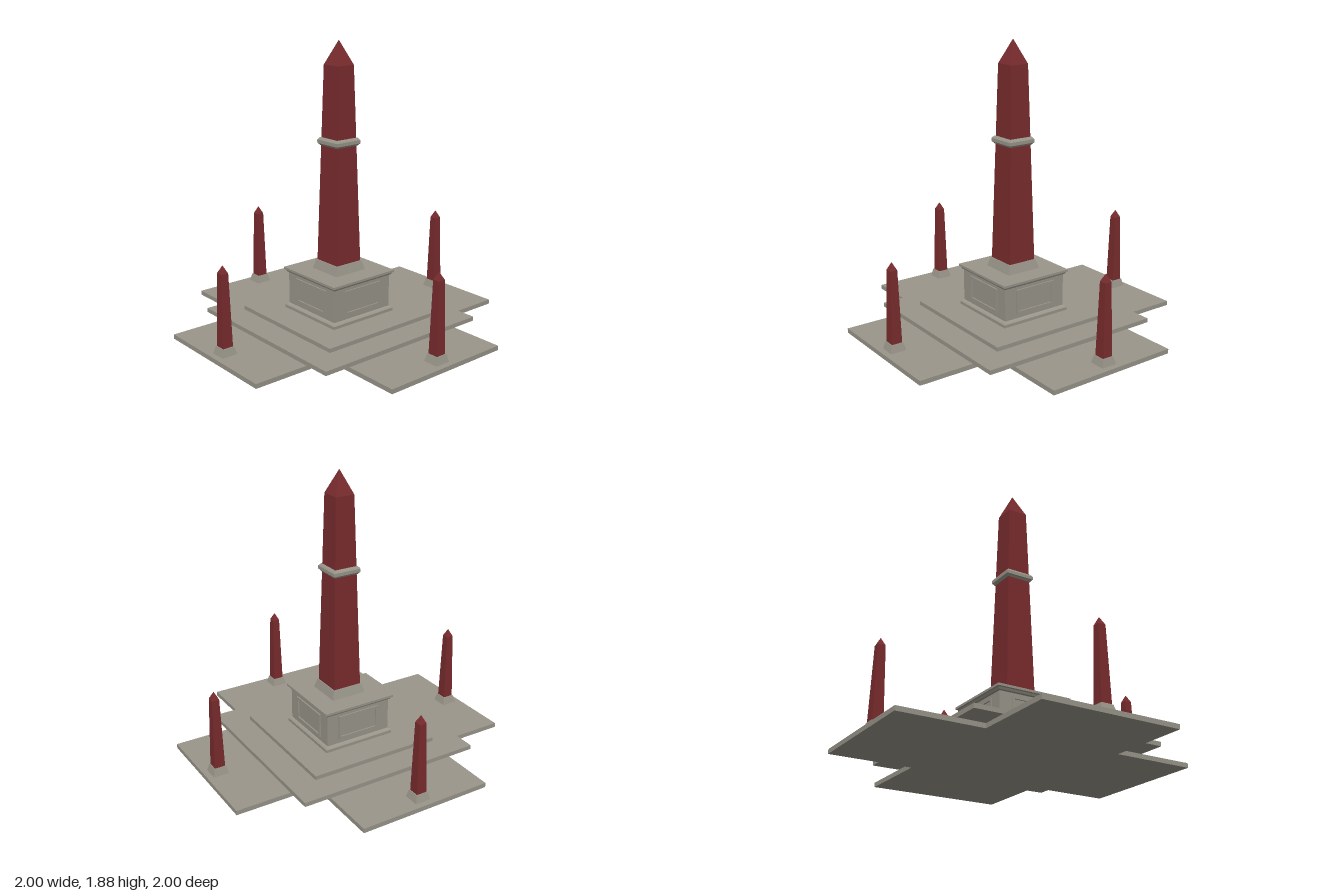
import * as THREE from 'three';

const stone = new THREE.MeshStandardMaterial({ color: 0x9a968b });
stone.name = 'grey stone';
const granite = new THREE.MeshStandardMaterial({ color: 0x7a2c2e });
granite.name = 'red granite';

function addMesh(parent, name, geometry, material) {
  const mesh = new THREE.Mesh(geometry, material);
  mesh.name = name;
  parent.add(mesh);
  return mesh;
}

// Square-plan solid from a profile of [half width, height] points, bottom to top
function squareStack(profile) {
  const closed = [[0, profile[0][1]], ...profile, [0, profile.at(-1)[1]]];
  const points = closed.map(([w, y]) => new THREE.Vector2(w * Math.SQRT2, y));
  const geometry = new THREE.LatheGeometry(points, 4, Math.PI / 4).toNonIndexed();
  geometry.computeVertexNormals();
  return geometry;
}

function rectangle(target, w, y0, y1) {
  target.moveTo(-w, y0);
  target.lineTo(w, y0);
  target.lineTo(w, y1);
  target.lineTo(-w, y1);
  target.closePath();
  return target;
}

export function createModel() {
  const model = new THREE.Group();
  model.name = 'obeliskMonument';

  // Cross-shaped paving
  const a = 0.453, b = 1;
  const cross = new THREE.Shape([
    [a, -b], [a, -a], [b, -a], [b, a], [a, a], [a, b],
    [-a, b], [-a, a], [-b, a], [-b, -a], [-a, -a], [-a, -b],
  ].map(([x, y]) => new THREE.Vector2(x, y)));
  const paving = new THREE.ExtrudeGeometry(cross, { depth: 0.03, bevelEnabled: false });
  paving.rotateX(-Math.PI / 2);
  addMesh(model, 'crossPaving', paving, stone);

  // Square steps
  addMesh(model, 'lowerStep', squareStack([[0.633, 0.03], [0.633, 0.058]]), stone);
  addMesh(model, 'upperStep', squareStack([[0.453, 0.058], [0.453, 0.085]]), stone);

  // Pedestal with base moulding and cornice
  addMesh(model, 'pedestal', squareStack([
    [0.254, 0.085], [0.254, 0.105], [0.245, 0.115], [0.235, 0.12],
    [0.235, 0.335], [0.244, 0.34], [0.25, 0.353], [0.259, 0.356], [0.259, 0.371],
  ]), stone);

  // Raised panel frame on each pedestal side
  const frame = rectangle(new THREE.Shape(), 0.15, 0.15, 0.315);
  frame.holes.push(rectangle(new THREE.Path(), 0.133, 0.167, 0.298));
  const frameGeometry = new THREE.ExtrudeGeometry(frame, { depth: 0.012, bevelEnabled: false });
  frameGeometry.translate(0, 0, 0.232);
  for (let i = 0; i < 4; i++) {
    addMesh(model, 'panelFrame', frameGeometry, stone).rotation.y = i * Math.PI / 2;
  }

  // Central obelisk
  addMesh(model, 'obeliskPlinth', squareStack([[0.123, 0.371], [0.106, 0.432]]), stone);
  addMesh(model, 'obeliskShaft', squareStack([[0.1, 0.432], [0.067, 1.72], [0, 1.875]]), granite);
  addMesh(model, 'obeliskCollar', squareStack([
    [0.085, 1.204], [0.09, 1.212], [0.098, 1.218], [0.098, 1.24],
    [0.091, 1.25], [0.085, 1.256],
  ]), stone);

  // Small obelisk at the end of each arm
  const plinth = squareStack([[0.053, 0.03], [0.04, 0.08]]);
  const shaft = squareStack([[0.035, 0.08], [0.024, 0.55], [0, 0.6]]);
  for (let i = 0; i < 4; i++) {
    const small = new THREE.Group();
    small.name = 'smallObelisk';
    const angle = i * Math.PI / 2;
    small.position.set(0.908 * Math.sin(angle), 0, 0.908 * Math.cos(angle));
    addMesh(small, 'smallPlinth', plinth, stone);
    addMesh(small, 'smallShaft', shaft, granite);
    model.add(small);
  }

  return model;
}
